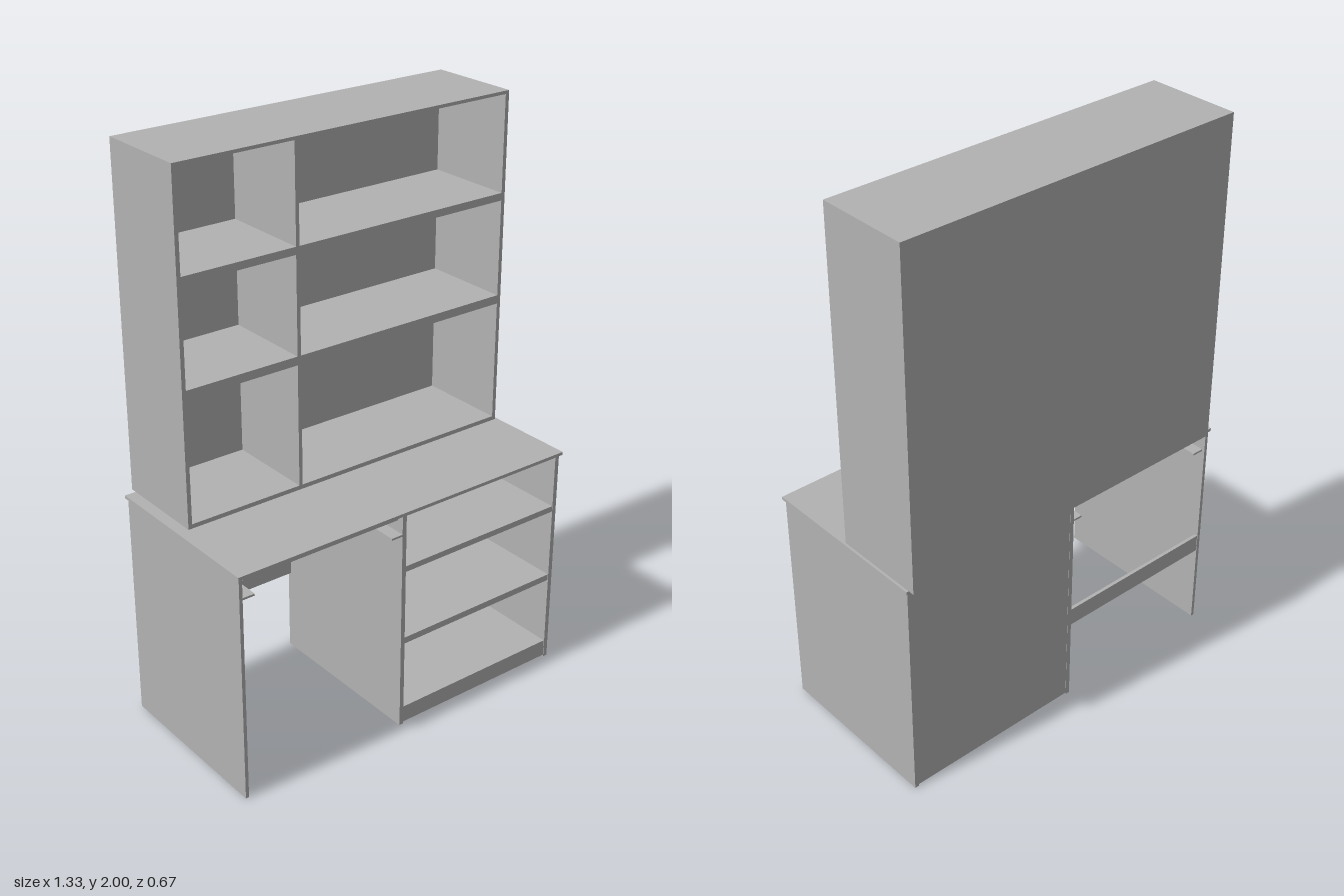
import * as THREE from 'three';

const grey = new THREE.MeshStandardMaterial({ color: 0xb2b2b2 });
grey.name = 'plain grey';

// Axis-aligned board given by its limits on each axis
function board(parent, name, [x0, x1], [y0, y1], [z0, z1]) {
  const mesh = new THREE.Mesh(new THREE.BoxGeometry(x1 - x0, y1 - y0, z1 - z0), grey);
  mesh.name = name;
  mesh.position.set((x0 + x1) / 2, (y0 + y1) / 2, (z0 + z1) / 2);
  parent.add(mesh);
}

function section(parent, name) {
  const group = new THREE.Group();
  group.name = name;
  parent.add(group);
  return group;
}

export function createModel() {
  const model = new THREE.Group();
  model.name = 'deskWithHutch';

  // Desk: worktop, three upright panels and a rear stretcher
  const desk = section(model, 'desk');
  const depth = [-0.31, 0.318];
  board(desk, 'worktop', [-0.665, 0.665], [0.814, 0.825], [-0.313, 0.33]);
  board(desk, 'leftLegPanel', [-0.656, -0.644], [0, 0.814], depth);
  board(desk, 'middlePanel', [-0.026, -0.01], [0, 0.814], depth);
  board(desk, 'rightPanel', [0.644, 0.66], [0, 0.814], depth);
  board(desk, 'rearStretcher', [-0.644, -0.026], [0.305, 0.37], [-0.308, -0.296]);

  // Thin board under the worktop and the two runners below it
  board(desk, 'underTray', [-0.636, -0.04], [0.795, 0.804], [-0.3, 0.31]);
  board(desk, 'leftRunner', [-0.644, -0.6], [0.734, 0.741], [-0.3, 0.318]);
  board(desk, 'rightRunner', [-0.07, -0.026], [0.734, 0.741], [-0.3, 0.318]);

  // Open cabinet between the middle and right panels
  const cabinet = section(model, 'cabinet');
  const inside = [-0.01, 0.644];
  board(cabinet, 'cabinetBack', inside, [0.006, 0.814], [-0.309, -0.299]);
  [['cabinetBase', 0.006, 0.067], ['lowerShelf', 0.32, 0.343],
    ['upperShelf', 0.595, 0.616], ['cabinetTop', 0.803, 0.814]]
    .forEach(([name, y0, y1]) => board(cabinet, name, inside, [y0, y1], [-0.299, 0.316]));

  // Hutch standing on the worktop, open to the front
  const hutch = section(model, 'hutch');
  const hutchDepth = [-0.325, 0];
  board(hutch, 'hutchBack', [-0.625, 0.656], [0.825, 2], [-0.335, -0.325]);
  board(hutch, 'hutchLeftEnd', [-0.625, -0.611], [0.825, 2], hutchDepth);
  board(hutch, 'hutchRightEnd', [0.642, 0.656], [0.825, 2], hutchDepth);
  [['hutchBottom', 0.825, 0.84], ['hutchLowerShelf', 1.266, 1.296],
    ['hutchUpperShelf', 1.632, 1.658], ['hutchTop', 1.989, 2]]
    .forEach(([name, y0, y1]) => board(hutch, name, [-0.611, 0.642], [y0, y1], hutchDepth));
  [[0.84, 1.266], [1.296, 1.632], [1.658, 1.989]]
    .forEach((span) => board(hutch, 'hutchDivider', [-0.198, -0.185], span, hutchDepth));

  return model;
}
